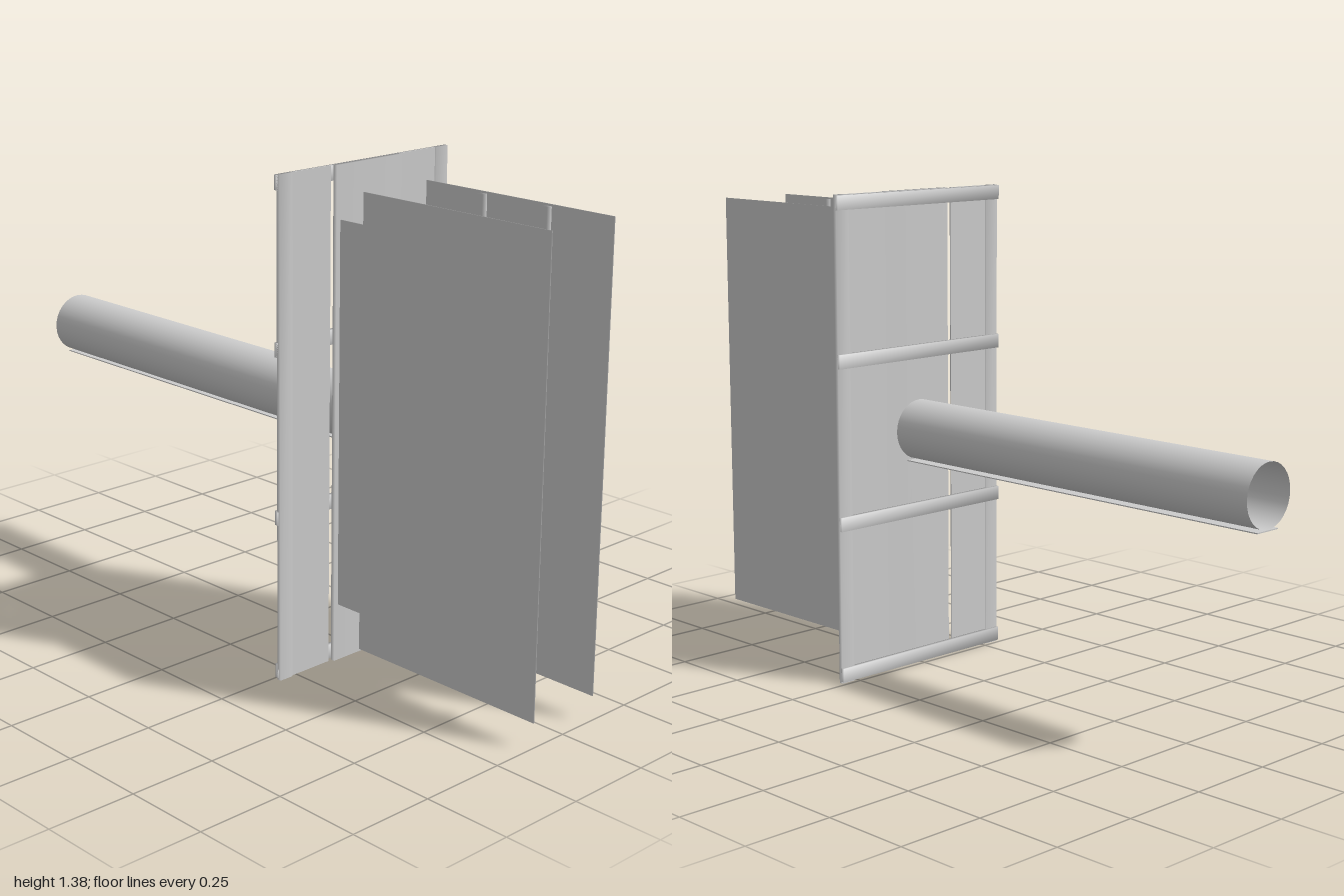
import * as THREE from 'three';
import { mergeVertices } from 'three/addons/utils/BufferGeometryUtils.js';

const material = new THREE.MeshStandardMaterial({ color: 0xcccccc, side: THREE.DoubleSide });

// Box given by its [min, max] range on each axis; soft boxes share normals across their edges
function addBox(parent, name, [x0, x1], [y0, y1], [z0, z1], soft = true) {
  let geometry = new THREE.BoxGeometry(x1 - x0, y1 - y0, z1 - z0);
  if (soft) {
    geometry.deleteAttribute('normal');
    geometry.deleteAttribute('uv');
    geometry = mergeVertices(geometry);
    geometry.computeVertexNormals();
  }
  const mesh = new THREE.Mesh(geometry, material);
  mesh.name = name;
  mesh.position.set((x0 + x1) / 2, (y0 + y1) / 2, (z0 + z1) / 2);
  parent.add(mesh);
}

export function createModel() {
  const model = new THREE.Group();
  model.name = 'panelOnPole';
  const height = 1.385;

  // Back frame: centre board, side panels (the right one leaves a slit) and edge rails
  const frame = new THREE.Group();
  frame.name = 'frame';
  model.add(frame);
  addBox(frame, 'centreBoard', [-0.115, 0.123], [0, height], [0.267, 0.28]);
  addBox(frame, 'rightPanel', [-0.268, -0.127], [0, height], [0.267, 0.27], false);
  addBox(frame, 'leftPanel', [0.123, 0.264], [0, height], [0.267, 0.27], false);
  addBox(frame, 'rightRail', [-0.31, -0.266], [0, height], [0.262, 0.274]);
  addBox(frame, 'leftRail', [0.262, 0.307], [0, height], [0.262, 0.274]);

  // Four crossbars on the back
  for (const y of [0.025, 0.464, 0.925, 1.363]) {
    addBox(frame, 'crossbar', [-0.31, 0.307], [y - 0.02, y + 0.02], [0.254, 0.267]);
  }

  // Two walls facing forward, each with an inner fin and two battens
  for (const [label, s] of [['left', 1], ['right', -1]]) {
    const wall = new THREE.Group();
    wall.name = label + 'Wall';
    model.add(wall);
    const span = (a, b) => (s > 0 ? [a, b] : [-b, -a]);
    addBox(wall, 'outerFin', span(0.114, 0.118), [0.07, 1.33], [0.38, 1]);
    addBox(wall, 'innerFin', span(0.098, 0.102), [0.165, 1.24], [0.28, 0.425]);
    for (const z of [0.581, 0.794]) {
      addBox(wall, 'batten', span(0.096, 0.114), [0.07, 1.325], [z - 0.011, z + 0.011]);
    }
  }

  // Hollow pole with a thin strip along its underside
  const pole = new THREE.Mesh(
    new THREE.CylinderGeometry(0.086, 0.086, 1.265, 32, 1, true), material);
  pole.name = 'pole';
  pole.rotation.x = Math.PI / 2;
  pole.position.set(0, 0.698, -0.3645);
  model.add(pole);
  addBox(model, 'poleStrip', [-0.036, 0.046], [0.609, 0.612], [-1, 0.267], false);

  return model;
}
